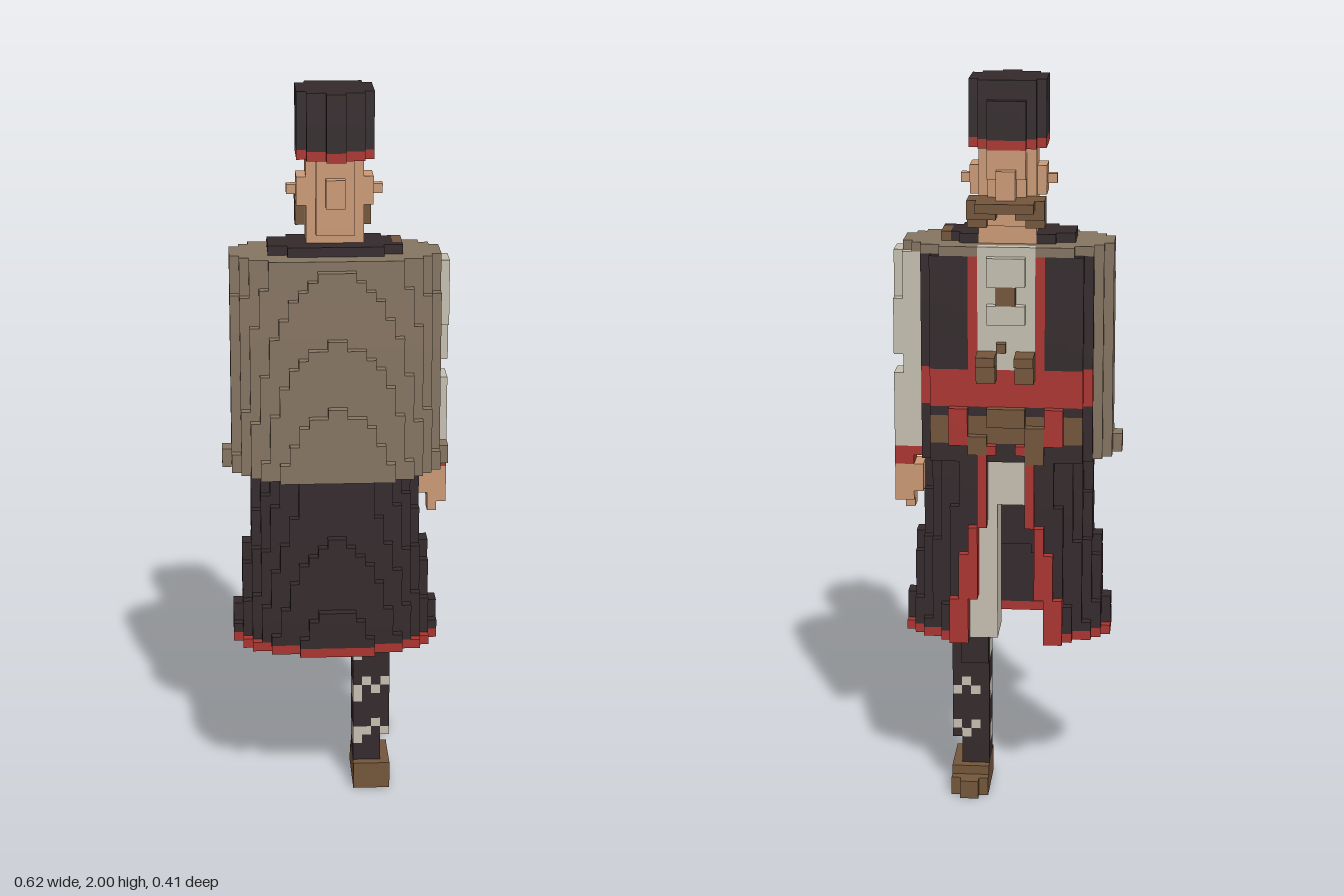
import * as THREE from 'three';

const V = 2 / 78; // edge of one block
const mat = (name, color) => Object.assign(new THREE.MeshStandardMaterial({ color }), { name });

// Six faces of a block: outward normal and two edge directions
const FACES = [0, 1, 2].flatMap(a => [1, -1].map(s => {
  const axis = n => [0, 1, 2].map(i => (i === n % 3 ? 1 : 0));
  const n = axis(a).map(c => c * s);
  return s > 0 ? { n, u: axis(a + 1), w: axis(a + 2) } : { n, u: axis(a + 2), w: axis(a + 1) };
}));

// Rounded outline test with different depth behind (+z) and in front (-z)
const oval = (x, z, hw, back, front, p = 2) =>
  (Math.abs(x) / hw) ** p + (Math.abs(z) / (z > 0 ? back : front)) ** p < 1;

export function createModel() {
  const model = new THREE.Group();
  model.name = 'cloakedFigure';
  const dark = mat('dark cloth', 0x342a2c);
  const taupe = mat('cape cloth', 0x867562);
  const brown = mat('brown leather', 0x74563b);
  const skin = mat('skin', 0xcc9a76);
  const red = mat('red trim', 0xab3530);
  const pale = mat('pale linen', 0xc6c0b1);
  const taken = new Set();

  // Fill block ranges [x0,x1,y0,y1,z0,z1] where test holds; earlier parts keep their blocks
  function part(name, material, ranges, test = () => true) {
    const own = new Map();
    for (const [x0, x1, y0, y1, z0, z1] of ranges)
      for (let i = x0; i < x1; i++) for (let j = y0; j < y1; j++) for (let k = z0; k < z1; k++) {
        const key = `${i},${j},${k}`;
        if (taken.has(key) || !test(i + 0.5, j, k + 0.5)) continue;
        taken.add(key);
        own.set(key, [i, j, k]);
      }
    const pos = [], nor = [];
    for (const c of own.values()) for (const { n, u, w } of FACES) {
      if (own.has(c.map((q, a) => q + n[a]).join())) continue;
      for (const [s, t] of [[0, 0], [1, 0], [1, 1], [0, 0], [1, 1], [0, 1]]) {
        for (let a = 0; a < 3; a++) pos.push((c[a] + Math.max(n[a], 0) + u[a] * s + w[a] * t) * V);
        nor.push(...n);
      }
    }
    const g = new THREE.BufferGeometry();
    g.setAttribute('position', new THREE.Float32BufferAttribute(pos, 3));
    g.setAttribute('normal', new THREE.Float32BufferAttribute(nor, 3));
    const mesh = new THREE.Mesh(g, material);
    mesh.name = name;
    model.add(mesh);
  }
  // A range together with its mirror image across x
  const pair = ([x0, x1, ...r]) => [[x0, x1, ...r], [-x1, -x0, ...r]];

  // Hat
  const hat = (x, j, z) => oval(x, z, 4.2, 3.7, 4.7) || (z < -4 && Math.abs(x) < 2);
  part('hatBand', red, [[-4, 4, 71, 72, -5, 4]], hat);
  part('hat', dark, [[-4, 4, 72, 76, -5, 4], [-4, 4, 76, 78, -4, 4]], hat);

  // Head
  part('moustache', brown, [[-3, 3, 65, 66, -8, -4], [-4, 4, 65, 66, -6, -3],
    ...pair([1, 4, 64, 65, -6, -3]), ...pair([2, 4, 63, 64, -5, -3])]);
  part('nose', skin, [[-1, 1, 66, 69, -6, -4], [-2, 2, 68, 71, -5, -4]]);
  part('ears', skin, [...pair([3, 4, 66, 69, -2, 1]), ...pair([4, 5, 67, 68, -1, 0])]);
  part('head', skin, [[-3, 3, 63, 71, -4, 2], [-1, 1, 66, 69, 2, 3]],
    (x, j, z) => z > 2 || oval(x, z + 1, 3.2, 3.2, 3.2));
  part('neck', skin, [[-3, 3, 60, 63, -3, 1]], (x, j, z) => oval(x, z + 1, 3.1, 2.6, 2.6));

  // Collar
  part('shoulderStrap', brown, [[6, 7, 61, 62, -2, 1]]);
  part('collar', dark, [[-7, 7, 61, 62, -3, 3]], (x, j, z) => oval(x, z, 7.2, 3.6, 3.6));

  // Belt gear
  part('hilts', brown, [...pair([1, 3, 47, 50, -7, -5]), ...pair([1, 3, 49, 50, -8, -7])]);
  part('pouches', brown, [[-4, -2, 38, 42, -6, -5], [2, 4, 39, 41, -6, -5], [-2, 2, 42, 44, -6, -5]]);

  // Shirt front and its trim
  part('shirtButtons', brown, [[-1, 1, 55, 57, -6, -5], [0, 1, 50, 51, -6, -5]]);
  part('shirtRuffle', pale, [[-2, 2, 57, 60, -6, -5], [-2, 2, 53, 55, -6, -5]]);
  part('shirt', pale, [[-3, 3, 48, 61, -5, -4]]);
  part('lapelTrim', red, pair([3, 4, 48, 60, -5, -4]));

  // Arm at the open side of the cape
  part('sleeve', pale, [[9, 12, 39, 47, -3, 0], [9, 11, 47, 49, -3, 0], [9, 12, 49, 53, -3, 0],
    [9, 12, 53, 60, -3, 1]], (x, j, z) => !(x > 11 && z < -2 && j > 54));
  part('cuff', red, [[9, 12, 37, 39, -3, 0]], (x, j) => j > 37 || x > 10);
  part('hand', skin, [[9, 12, 34, 37, -3, 0], [10, 12, 33, 34, -3, 0], [10, 11, 32, 33, -2, 0]]);

  // Sash, belt and upper coat
  const torso = (x, j, z) => oval(x, z, 9, 3.3, 5.6, 4);
  part('sashEnds', red, pair([4, 6, 40, 44, -6, -5]));
  part('sash', red, [[-9, 9, 44, 48, -5, 0]], torso);
  part('belt', brown, [[-8, 8, 40, 43, -5, -4]], torso);
  part('coat', dark, [[-9, 9, 38, 60, -5, 3]], torso);

  // Coat skirt: a flaring shell, open in front
  const spread = j => (38 - j) / 20;
  const gap = j => Math.round(1.5 + spread(j) * 2.5);
  const skirt = (x, j, z) => {
    const s = spread(j), hw = Math.max(8.6, 8.16 + s * 2.86), back = Math.max(5, 4.5 + s * 2.6);
    return oval(x, z, hw, back, 5.7) && !oval(x, z, hw - 1.6, back - 1.6, 4.1)
      && !(z < 0 && Math.abs(x) < gap(j));
  };
  part('skirtTrim', red, [[-6, 6, 18, 40, -6, -4]],
    (x, j) => Math.abs(x) > gap(j) && Math.abs(x) < gap(j) + (j < 28 ? 2 : 1));
  part('skirtHem', red, [[-11, 11, 18, 19, -5, 8]], skirt);
  part('skirt', dark, [[-11, 11, 19, 38, -5, 8]], skirt);

  // Cape: drawn around the back and one shoulder, widening toward its lower edge
  part('cape', taupe, [[-12, 12, 38, 61, -5, 9]], (x, j, z) => {
    const flare = j < 40 && z > 0 && z < 2;
    const hw = flare ? 12.2 : 11.3, back = 5.4 + (60 - j) / 22 * 3.1;
    if (!oval(x, z, hw, back, 5.47, 2.2)) return false;
    if (j === 60) return true;
    if (oval(x, z, 9.4, back - 1.7, 4.3)) return false;
    return z > 0 || x < -6;
  });

  // Trousers
  part('trousers', pale, [[1, 6, 18, 38, -4, 1], [-4, 6, 33, 38, -4, 2]]);

  // Leg wrapped in laces, with a shoe
  const lace = (x, j, z) => {
    const row = j % 5, inner = x < 3;
    return inner ? row < 2 && z > -2 : (row === 1 || row === 2) && (x + j + z) % 2 === 0;
  };
  const calf = (x, j) => j > 5 ? x < 6 : x < 5;
  part('laces', pale, [[2, 6, 6, 18, -3, 1], [2, 3, 4, 6, -3, 1]], lace);
  part('gaiter', dark, [[2, 6, 3, 18, -3, 1], [2, 5, 15, 18, -4, -3]], calf);
  part('shoe', brown, [[2, 6, 0, 3, -4, 2], [2, 6, 0, 2, -5, -4], [3, 5, 0, 2, -6, -5]]);

  return model;
}
